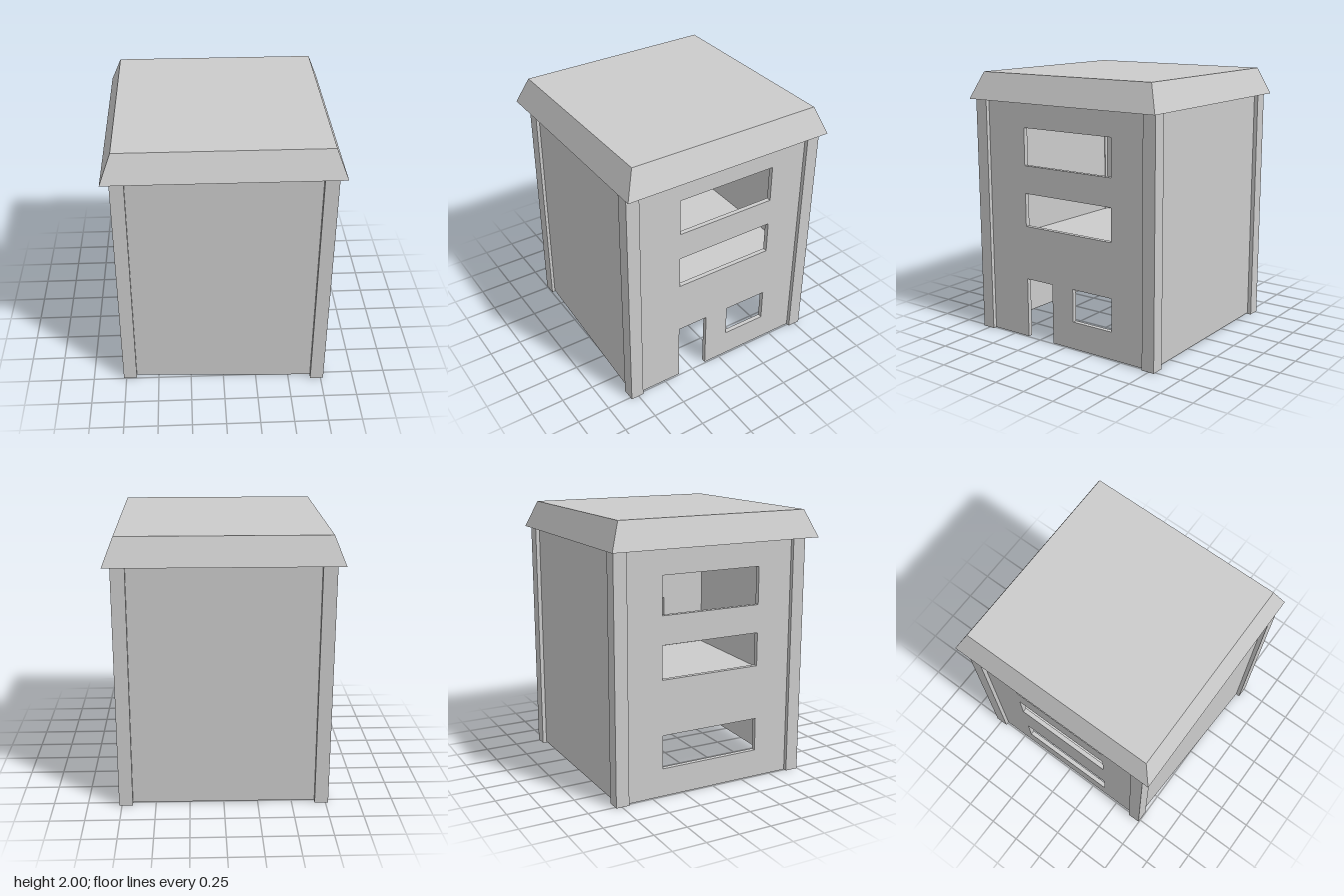
import * as THREE from 'three';

const material = new THREE.MeshStandardMaterial({ color: 0xcccccc, flatShading: true });
const WALL = 0.035;
const BACK = -0.765;       // outer face of the back wall
const FRONT_LEFT = 0.78;   // the front wall runs at a slight angle
const FRONT_RIGHT = 0.72;

function add(parent, name, geometry, x = 0, y = 0, z = 0) {
  const mesh = new THREE.Mesh(geometry, material);
  mesh.name = name;
  mesh.position.set(x, y, z);
  parent.add(mesh);
}

// Upright block from a footprint of [x, z] corners
function prism(parent, name, footprint, bottom, top) {
  const shape = new THREE.Shape(footprint.map(([x, z]) => new THREE.Vector2(x, -z)));
  const geometry = new THREE.ExtrudeGeometry(shape, { depth: top - bottom, bevelEnabled: false });
  add(parent, name, geometry.rotateX(-Math.PI / 2), 0, bottom, 0);
}

function rectangle(z0, z1, y0, y1) {
  const path = new THREE.Path();
  path.moveTo(z0, y0).lineTo(z0, y1).lineTo(z1, y1).lineTo(z1, y0).closePath();
  return path;
}

// Side wall drawn in the z-y plane, with windows and an optional door notch
function sideWall(front, windows, door) {
  const shape = new THREE.Shape();
  shape.moveTo(BACK, 0);
  if (door) {
    shape.lineTo(door.z0, 0).lineTo(door.z0, door.top);
    shape.lineTo(door.z1, door.top).lineTo(door.z1, 0);
  }
  shape.lineTo(front, 0).lineTo(front, 1.8).lineTo(BACK, 1.8).closePath();
  shape.holes = windows.map((w) => rectangle(...w));
  const geometry = new THREE.ExtrudeGeometry(shape, { depth: WALL, bevelEnabled: false });
  return geometry.rotateY(-Math.PI / 2);
}

export function createModel() {
  const group = new THREE.Group();
  group.name = 'building';

  // L-shaped corner pillars wrapped around the wall corners
  const ell = [[0, 0], [0.1, 0], [0.1, 0.065], [0.065, 0.065], [0.065, 0.1], [0, 0.1]];
  const corners = [[0.77, 0.81], [-0.77, 0.746], [0.77, -0.795], [-0.77, -0.795]];
  for (const [cx, cz] of corners) {
    const footprint = ell.map(([a, b]) => [cx - Math.sign(cx) * a, cz - Math.sign(cz) * b]);
    prism(group, 'cornerPillar', footprint, 0, 1.8);
  }

  // Plain front and back walls
  prism(group, 'frontWall', [
    [-0.71, FRONT_RIGHT], [0.71, FRONT_LEFT], [0.71, FRONT_LEFT - WALL], [-0.71, FRONT_RIGHT - WALL],
  ], 0.01, 1.8);
  prism(group, 'backWall', [
    [-0.71, BACK], [0.71, BACK], [0.71, BACK + WALL], [-0.71, BACK + WALL],
  ], 0.01, 1.8);

  // Side walls with openings
  const upperWindows = [[-0.413, 0.37, 0.87, 1.12], [-0.413, 0.37, 1.33, 1.61]];
  const door = { z0: 0.127, z1: 0.37, top: 0.46 };
  const leftWindows = [...upperWindows, [-0.413, -0.065, 0.21, 0.46]];
  const rightWindows = [...upperWindows, [-0.413, 0.37, 0.21, 0.46]];
  add(group, 'leftWall', sideWall(FRONT_LEFT, leftWindows, door), 0.74);
  add(group, 'rightWall', sideWall(FRONT_RIGHT, rightWindows), -0.74 + WALL);

  // Thin upper floor
  prism(group, 'upperFloor', [
    [-0.72, FRONT_RIGHT - 0.02], [0.72, FRONT_LEFT - 0.02], [0.72, BACK + 0.02], [-0.72, BACK + 0.02],
  ], 0.68, 0.69);

  // Roof block with sloping edges
  const roof = new THREE.BoxGeometry(1.65, 0.2, 1.65);
  const p = roof.attributes.position;
  for (let i = 0; i < p.count; i++) {
    if (p.getY(i) > 0) {
      p.setX(i, Math.sign(p.getX(i)) * 0.745);
      p.setZ(i, Math.sign(p.getZ(i)) * 0.745);
    }
  }
  roof.computeVertexNormals();
  add(group, 'roof', roof, 0, 1.9, 0);

  return group;
}
